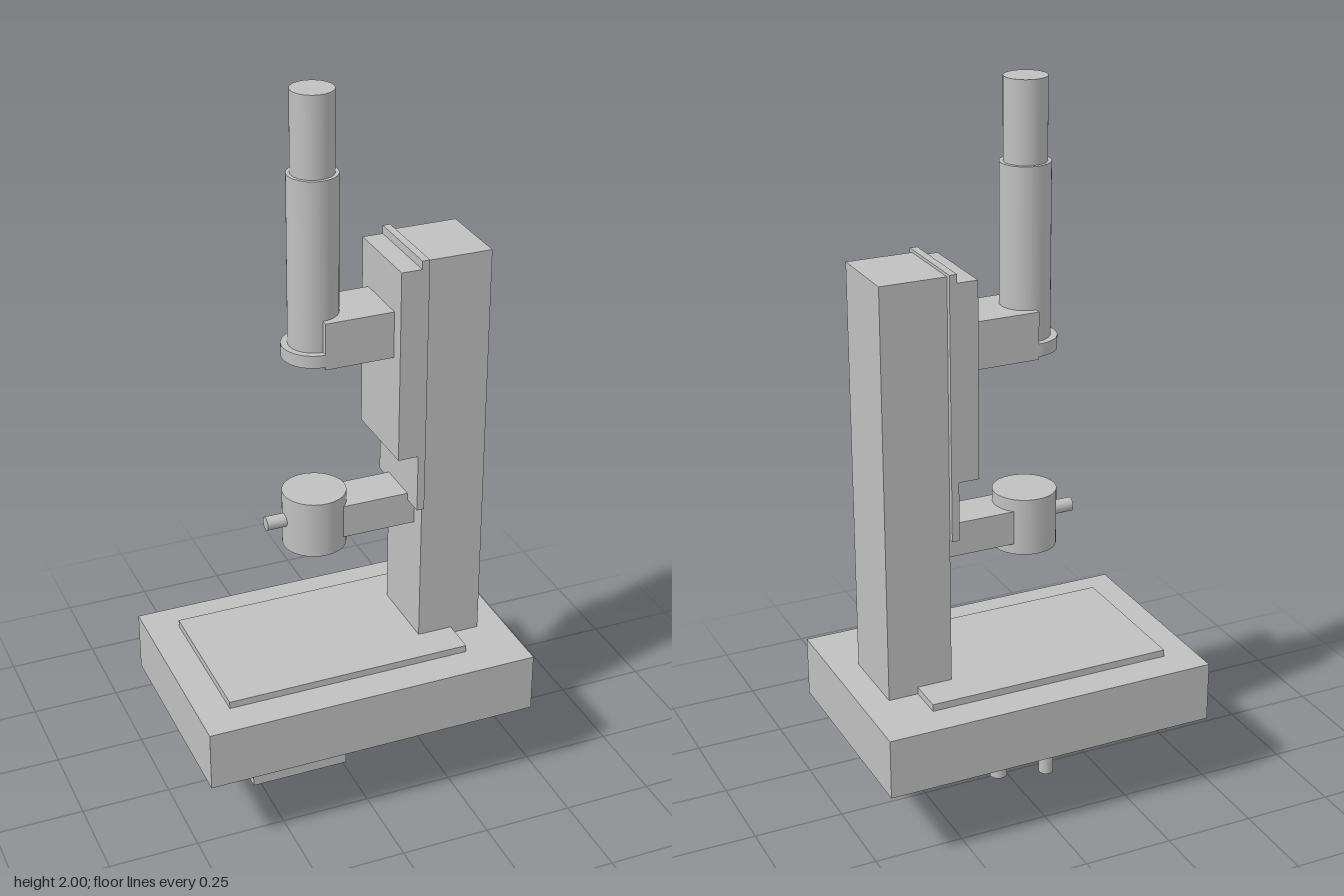
import * as THREE from 'three';

export function createModel() {
  const model = new THREE.Group();
  model.name = 'benchStand';
  const metal = new THREE.MeshStandardMaterial({ color: 0xc0c0c0 });
  metal.name = 'lightGrey';

  const add = (name, geometry, x, y, z) => {
    const mesh = new THREE.Mesh(geometry, metal);
    mesh.name = name;
    mesh.position.set(x, y, z);
    model.add(mesh);
    return mesh;
  };
  // Box given by its limits on each axis
  const box = (name, x0, x1, y0, y1, z0, z1) =>
    add(name, new THREE.BoxGeometry(x1 - x0, y1 - y0, z1 - z0),
      (x0 + x1) / 2, (y0 + y1) / 2, (z0 + z1) / 2);
  // Upright cylinder given by its axis, radius and height limits
  const rod = (name, x, z, r, y0, y1) =>
    add(name, new THREE.CylinderGeometry(r, r, y1 - y0, 48), x, (y0 + y1) / 2, z);

  const axisX = -0.055; // shared axis of the tube, the holder and the pins

  // Base, work plate and feet
  box('base', -0.473, 0.473, 0.22, 0.39, -0.305, 0.305);
  box('workPlate', -0.383, 0.312, 0.39, 0.41, -0.212, 0.21);
  for (const x of [-0.337, 0.337])
    for (const z of [-0.2, 0.2]) rod('foot', x, z, 0.047, 0.21, 0.22);

  // Column, rail and slide
  box('column', 0.213, 0.395, 0.39, 1.545, -0.11, 0.11);
  box('rail', 0.192, 0.213, 0.825, 1.553, -0.125, 0.125);
  box('slide', 0.135, 0.192, 0.99, 1.53, -0.125, 0.125);

  // Upper arm with its half-round lip and the stepped tube
  box('upperArm', axisX, 0.135, 1.275, 1.405, -0.085, 0.085);
  const lip = new THREE.Shape();
  lip.moveTo(0, 0.085);
  lip.absarc(0, 0, 0.085, Math.PI / 2, Math.PI * 1.5, false);
  lip.closePath();
  const lipMesh = add('armLip',
    new THREE.ExtrudeGeometry(lip, { depth: 0.035, bevelEnabled: false, curveSegments: 32 }),
    axisX, 1.283, 0);
  lipMesh.rotation.x = -Math.PI / 2;
  rod('tube', axisX, 0, 0.067, 1.276, 1.783);
  rod('tubeTop', axisX, 0, 0.057, 1.783, 2);

  // Lower arm, round holder and side pin
  box('lowerArm', axisX, 0.213, 0.75, 0.845, -0.063, 0.063);
  rod('holder', axisX, 0, 0.087, 0.72, 0.88);
  const pin = add('sidePin', new THREE.CylinderGeometry(0.019, 0.019, 0.07, 32), -0.16, 0.803, 0);
  pin.rotation.z = Math.PI / 2;

  // Parts under the base
  box('underPlate', -0.26, 0.175, 0.206, 0.22, -0.195, 0.195);
  box('sideBlock', -0.34, -0.07, 0.16, 0.22, 0.195, 0.265);
  box('innerBlock', 0.065, 0.175, 0.16, 0.206, -0.095, 0.095);
  rod('disc', axisX, 0, 0.12, 0.19, 0.206);

  // Three hanging pins with collars
  const pins = [
    [0.023, 0, 0.024, 0],
    [-0.094, 0.069, 0.019, 0.025],
    [-0.094, -0.067, 0.021, 0.02],
  ];
  for (const [x, z, r, bottom] of pins) {
    rod('hangingPin', x, z, r, bottom, 0.165);
    rod('pinCollar', x, z, r + 0.007, 0.16, 0.19);
  }
  return model;
}
